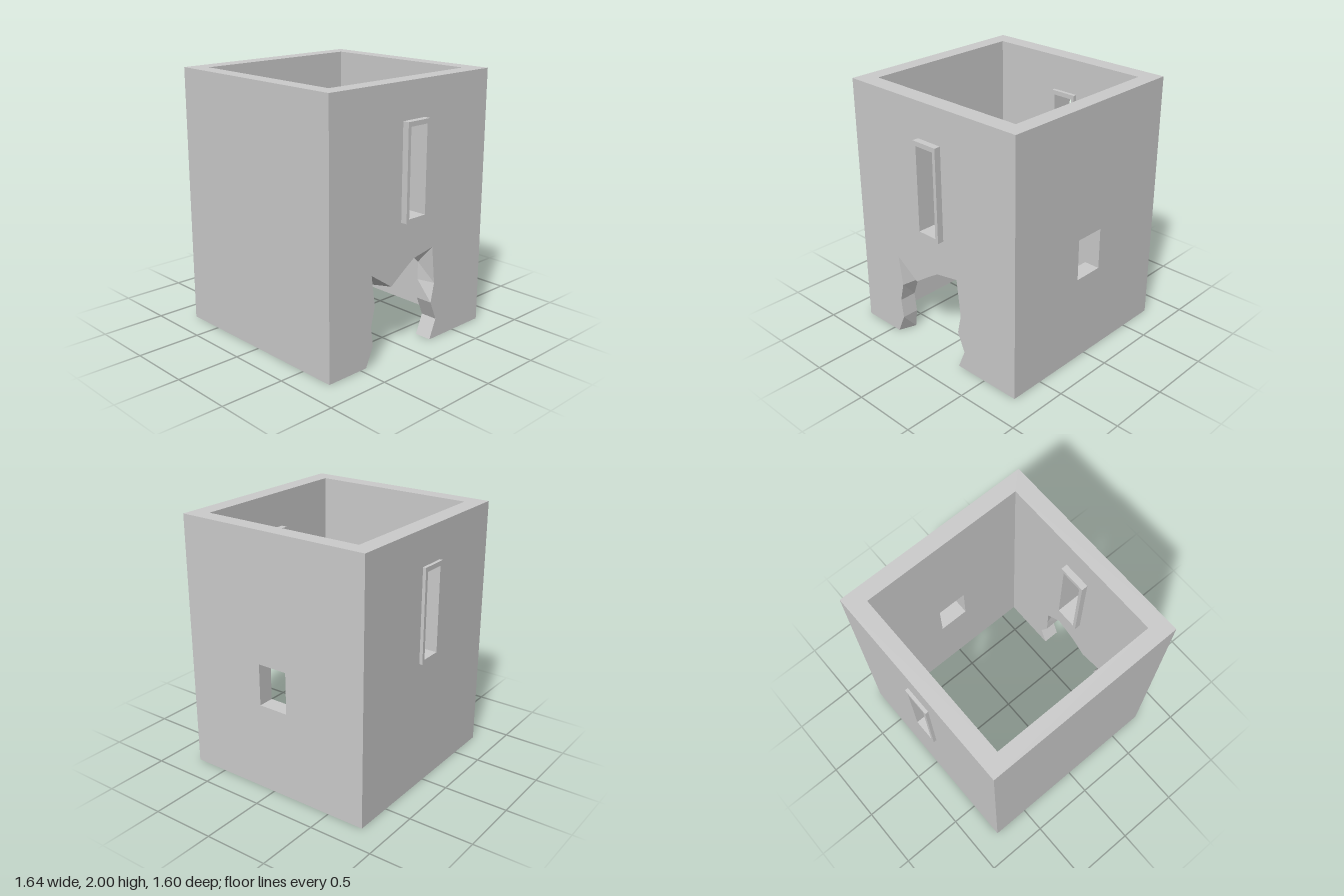
import * as THREE from 'three';

const material = new THREE.MeshStandardMaterial({ color: 0xcccccc, flatShading: true });
const HEIGHT = 2;

const rect = (u0, u1, y0, y1) => [[u0, y0], [u1, y0], [u1, y1], [u0, y1]];

// A wall slab: outer outline at depth 0, inner outline at -thickness, ruled edges between.
// Outlines run counter-clockwise as seen from outside.
function wallGeometry(outer, inner, thickness, holes = []) {
  const positions = [];
  const front = p => [p[0], p[1], 0];
  const back = p => [p[0], p[1], -thickness];
  const triangle = (a, b, c) => positions.push(...a, ...b, ...c);

  const face = (outline, place, flip) => {
    const toVectors = list => list.map(p => new THREE.Vector2(p[0], p[1]));
    const points = [...outline, ...holes.flat()];
    const faces = THREE.ShapeUtils.triangulateShape(toVectors(outline), holes.map(toVectors));
    for (const [a, b, c] of faces) {
      const [p, q, r] = [a, b, c].map(i => place(points[i]));
      if (flip) triangle(p, r, q); else triangle(p, q, r);
    }
  };
  face(outer, front, false);
  face(inner, back, true);

  const edge = (near, far) => near.forEach((p, i) => {
    const j = (i + 1) % near.length;
    triangle(back(far[i]), back(far[j]), front(near[j]));
    triangle(back(far[i]), front(near[j]), front(p));
  });
  edge(outer, inner);
  for (const hole of holes) {
    const reversed = [...hole].reverse();
    edge(reversed, reversed);
  }

  const geometry = new THREE.BufferGeometry();
  geometry.setAttribute('position', new THREE.Float32BufferAttribute(positions, 3));
  geometry.computeVertexNormals();
  return geometry;
}

export function createModel() {
  const model = new THREE.Group();
  const add = (name, geometry, turn, x, z) => {
    const mesh = new THREE.Mesh(geometry, material);
    mesh.name = name;
    mesh.rotation.y = turn;
    mesh.position.set(x, 0, z);
    model.add(mesh);
  };

  // Front wall, plain, with mitred ends
  add('frontWall', wallGeometry(
    rect(-0.795, 0.77, 0, HEIGHT), rect(-0.66, 0.635, 0, HEIGHT), 0.125), 0, 0, 0.8);

  // Back wall with a small square opening
  add('backWall', wallGeometry(
    rect(-0.77, 0.795, 0, HEIGHT), rect(-0.635, 0.66, 0, HEIGHT), 0.125,
    [rect(-0.108, 0.133, 0.685, 1.01)]), Math.PI, 0, -0.8);

  // Side walls have a tall slot for the window frame
  const slot = rect(-0.097, 0.097, 1.02, 1.71);
  add('blindSideWall', wallGeometry(
    rect(-0.8, 0.8, 0, HEIGHT), rect(-0.675, 0.675, 0, HEIGHT), 0.135, [slot]),
  -Math.PI / 2, -0.795, 0);

  // Ragged breach: outer and inner edges differ, giving slanted broken faces
  const outerBreach = [
    [-0.445, 0], [-0.38, 0.15], [-0.4, 0.3], [-0.365, 0.45], [-0.4, 0.685],
    [-0.2, 0.55], [-0.07, 0.64], [0.03, 0.705], [0.235, 0.742],
    [0.268, 0.45], [0.235, 0.3], [0.298, 0.15], [0.235, 0],
  ];
  const innerBreach = [
    [-0.4, 0], [-0.38, 0.15], [-0.4, 0.3], [-0.345, 0.45], [-0.385, 0.59],
    [-0.2, 0.55], [-0.07, 0.64], [0.11, 0.705], [0.235, 0.59],
    [0.235, 0.45], [0.235, 0.3], [0.298, 0.15], [0.235, 0],
  ];
  const around = (breach, half) =>
    [[-half, 0], ...breach, [half, 0], [half, HEIGHT], [-half, HEIGHT]];
  add('breachedSideWall', wallGeometry(
    around(outerBreach, 0.8), around(innerBreach, 0.675), 0.135, [slot]),
  Math.PI / 2, 0.77, 0);

  // Window frames pass through the walls and stand proud on both sides
  const frameOuter = rect(-0.11, 0.11, 1.005, 1.727);
  const frameHole = rect(-0.083, 0.083, 1.035, 1.692);
  add('leftWindowFrame', wallGeometry(frameOuter, frameOuter, 0.235, [frameHole]),
    Math.PI / 2, 0.82, 0);
  add('rightWindowFrame', wallGeometry(frameOuter, frameOuter, 0.19, [frameHole]),
    -Math.PI / 2, -0.82, 0);

  return model;
}
